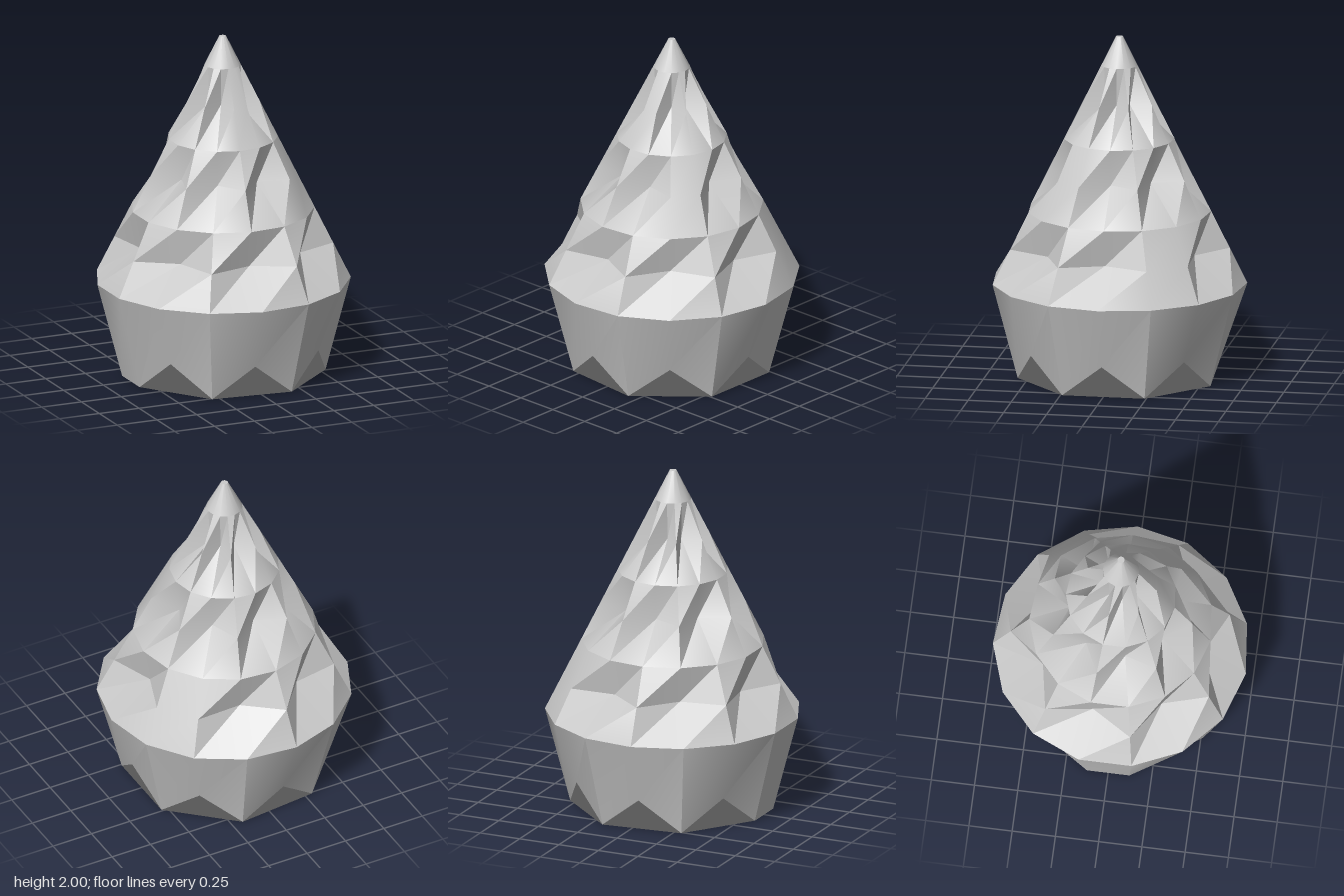
import * as THREE from 'three';
import { toCreasedNormals } from 'three/addons/utils/BufferGeometryUtils.js';

const N = 15; // sides of the tree
const CONE = (y) => 0.735 - (0.715 * (y - 0.555)) / 1.445; // outer slope

// Ring of N points; radius and height may depend on the index
function ring(radius, height) {
  return Array.from({ length: N }, (_, i) => {
    const a = (i * 2 * Math.PI) / N;
    return [radius(i) * Math.cos(a), height(i), radius(i) * Math.sin(a)];
  });
}

const even = (y) => ring(() => CONE(y), () => y);

// Neck ring: ridge points stay on the cone, the others are cut in under the eave above
const neck = (y, eaveY, ridges) =>
  ring((i) => (ridges.includes(i) ? CONE(y) : CONE(eaveY) * 0.92), () => y);

function triangleGeometry(triangles) {
  const geometry = new THREE.BufferGeometry();
  geometry.setAttribute('position', new THREE.Float32BufferAttribute(triangles.flat(2), 3));
  return geometry;
}

function mesh(name, geometry) {
  const m = new THREE.Mesh(geometry, new THREE.MeshStandardMaterial({ color: 0xcccccc }));
  m.name = name;
  return m;
}

const facets = (name, triangles) => mesh(name, toCreasedNormals(triangleGeometry(triangles), 0.5));

// Skin between consecutive rings, from low to high
function loft(rings) {
  const tris = [];
  for (let k = 0; k + 1 < rings.length; k++) {
    const low = rings[k], up = rings[k + 1];
    for (let i = 0; i < N; i++) {
      const j = (i + 1) % N;
      tris.push([low[i], up[i], low[j]], [low[j], up[i], up[j]]);
    }
  }
  return tris;
}

export function createModel() {
  const group = new THREE.Group();
  group.name = 'coniferTree';

  // Jagged hem: points touch the ground, gaps between them rise
  const tips = [1, 3, 5, 7, 8, 10, 12, 14];
  const hem = ring((i) => (tips.includes(i) ? 0.59 : 0.6), (i) => (tips.includes(i) ? 0 : 0.19));

  // Skirt below the widest eave
  group.add(facets('skirt', loft([hem, even(0.555)])));

  // Tiers of branches, each with a notched neck under the next eave
  const tiers = [
    ['lowerBranches', 0.555, 0.76, 0.975, [1, 3, 5, 7, 9, 11, 13, 14]],
    ['middleBranches', 0.975, 1.19, 1.4, [1, 2, 4, 6, 8, 10, 12, 14]],
    ['upperBranches', 1.4, 1.615, 1.83, [1, 3, 4, 6, 8, 10, 12, 14]],
  ];
  for (const [name, y0, y1, y2, ridges] of tiers) {
    group.add(facets(name, loft([even(y0), neck(y1, y2, ridges), even(y2)])));
  }

  // Pointed top with a tiny flat end
  const end = even(2);
  const top = loft([even(1.83), end]);
  end.forEach((p, i) => top.push([p, [0, 2, 0], end[(i + 1) % N]]));
  group.add(facets('treeTop', top));

  // Underside: floor between the points plus slanted gap faces, shaded as one downward face
  const floor = [];
  tips.forEach((a, k) => {
    const b = tips[(k + 1) % tips.length];
    floor.push([hem[a], hem[b], [0, 0, 0]]);
    const mid = (a + 1) % N;
    if (mid !== b) floor.push([hem[a], hem[mid], hem[b]]);
  });
  const underside = triangleGeometry(floor);
  const down = floor.flatMap(() => [0, -1, 0, 0, -1, 0, 0, -1, 0]);
  underside.setAttribute('normal', new THREE.Float32BufferAttribute(down, 3));
  group.add(mesh('underside', underside));

  return group;
}
